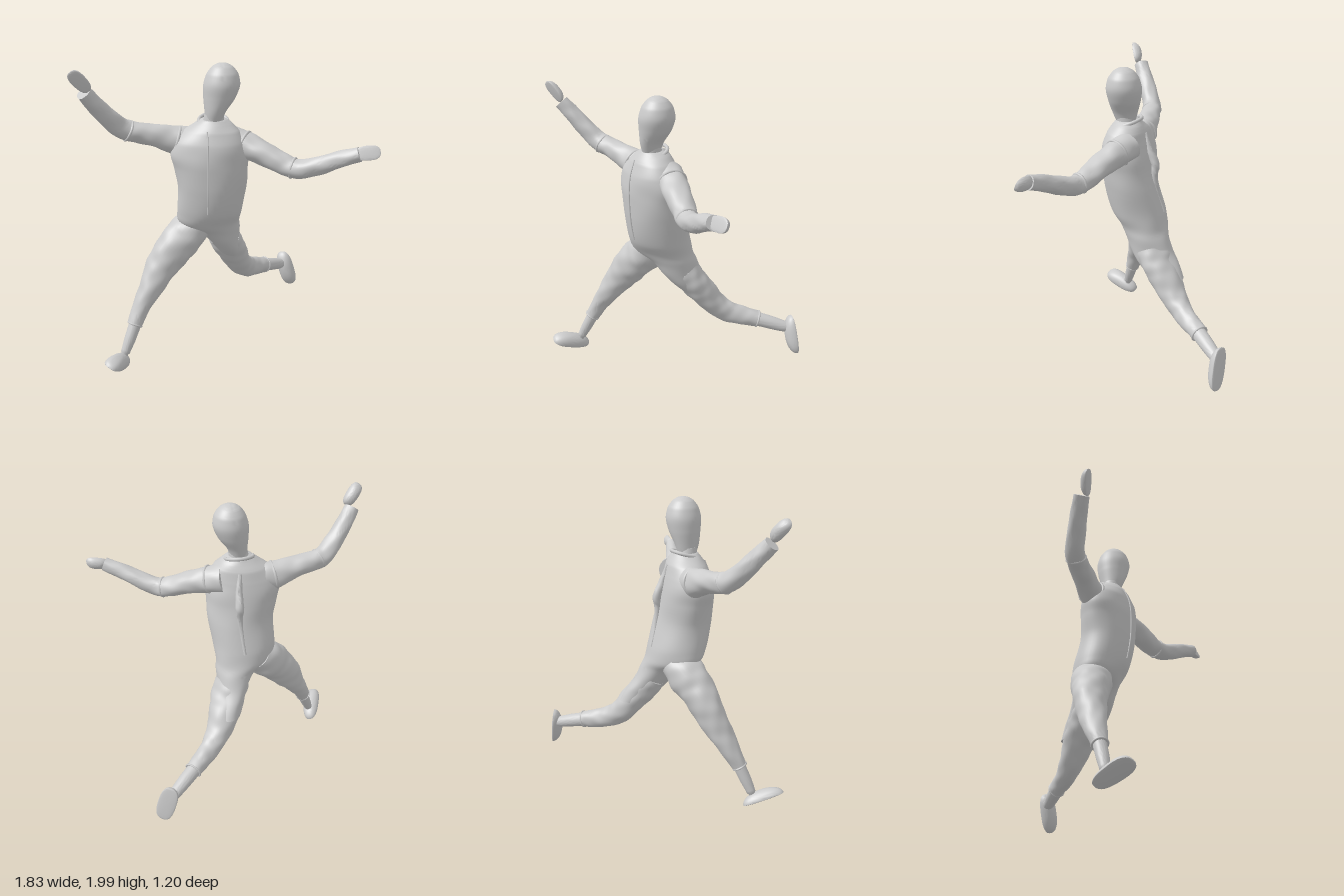
import * as THREE from 'three';
import { toCreasedNormals } from 'three/addons/utils/BufferGeometryUtils.js';

const V = (x, y, z) => new THREE.Vector3(x, y, z);
const material = new THREE.MeshStandardMaterial({ color: 0xcccccc, roughness: 0.8 });

// Smooth skin over sections [x, y, z, radiusA, radiusB, shear].
// Level rings lie flat (A along z, B along x); others stand square to the path.
function loft(sections, { level = false, folds = 0, steps = 48, sides = 36, ref = V(0, 0, 1) } = {}) {
  const path = new THREE.CatmullRomCurve3(sections.map(s => V(s[0], s[1], s[2])));
  const size = new THREE.CatmullRomCurve3(sections.map(s => V(s[3], s[4] ?? s[3], s[5] ?? 0)));
  const pos = [], index = [];
  for (let i = 0; i <= steps; i++) {
    const k = i / steps, c = path.getPoint(k), r = size.getPoint(k);
    const t = level ? V(0, 1, 0) : path.getTangent(k);
    const u = ref.clone().addScaledVector(t, -ref.dot(t)).normalize();
    const v = t.clone().cross(u);
    for (let j = 0; j < sides; j++) {
      const a = j / sides * Math.PI * 2;
      // Soft cloth folds running diagonally
      const f = 1 + folds * (Math.sin(3 * a + 16 * k) * 0.6 + Math.sin(5 * a - 27 * k + 1) * 0.5
        + Math.sin(2 * a + 45 * k) * 0.35);
      const p = c.clone().addScaledVector(u, Math.cos(a) * r.x * f).addScaledVector(v, Math.sin(a) * r.y * f);
      p.z += r.z * (p.x - c.x);
      pos.push(p.x, p.y, p.z);
    }
  }
  for (let i = 0; i < steps; i++) for (let j = 0; j < sides; j++) {
    const a = i * sides + j, b = i * sides + (j + 1) % sides;
    index.push(a, b, a + sides, b, b + sides, a + sides);
  }
  // End caps
  const n = pos.length / 3, last = steps * sides;
  for (const k of [0, 1]) pos.push(...path.getPoint(k).toArray());
  for (let j = 0; j < sides; j++) {
    const q = (j + 1) % sides;
    index.push(n, q, j, n + 1, last + j, last + q);
  }
  const g = new THREE.BufferGeometry();
  g.setAttribute('position', new THREE.Float32BufferAttribute(pos, 3));
  g.setIndex(index);
  return toCreasedNormals(g, 0.9);
}

// Squarish rounded pad with one flat face, laid along "forward" and domed towards "up"
function pad(center, forward, up, length, width, height, taper) {
  const g = new THREE.SphereGeometry(1, 32, 24);
  const p = g.attributes.position;
  for (let i = 0; i < p.count; i++) {
    const x = p.getX(i), y = p.getY(i), z = p.getZ(i);
    const a = Math.atan2(x, z);
    const sq = (Math.abs(Math.sin(a)) ** 2.7 + Math.abs(Math.cos(a)) ** 2.7) ** (-1 / 2.7);
    p.setXYZ(i, x * sq * width / 2 * (1 + taper * z), y > 0 ? y * height : y * height * 0.12, z * sq * length / 2);
  }
  const f = forward.clone().normalize();
  const n = up.clone().addScaledVector(f, -up.dot(f)).normalize();
  g.applyMatrix4(new THREE.Matrix4().makeBasis(n.clone().cross(f), n, f).setPosition(center));
  return toCreasedNormals(g, 0.7);
}

// Raised hem around a limb
function hem(center, dir, radius, thick) {
  const g = new THREE.TorusGeometry(radius, thick, 8, 32);
  const q = new THREE.Quaternion().setFromUnitVectors(V(0, 0, 1), dir.clone().normalize());
  return g.applyQuaternion(q).translate(center.x, center.y, center.z);
}

export function createModel() {
  const model = new THREE.Group();
  model.name = 'runningFigure';
  const add = (name, geometry) => {
    const mesh = new THREE.Mesh(geometry, material);
    mesh.name = name;
    model.add(mesh);
  };

  // Head and neck
  add('head', loft([
    [-0.045, 1.64, 0.165, 0.065, 0.053], [-0.035, 1.7, 0.168, 0.084, 0.068], [-0.01, 1.78, 0.165, 0.105, 0.1],
    [0.005, 1.86, 0.165, 0.116, 0.115], [0.01, 1.93, 0.165, 0.1, 0.1],
    [0.01, 1.975, 0.165, 0.066, 0.066], [0.01, 1.994, 0.165, 0.033, 0.033], [0.01, 2.0, 0.165, 0.002, 0.002],
  ], { level: true }));
  add('neck', loft([[-0.05, 1.56, 0.15, 0.075], [-0.047, 1.62, 0.16, 0.068], [-0.042, 1.68, 0.168, 0.062]],
    { level: true, steps: 8 }));

  // Torso of the overall, running down into the trailing thigh
  add('torso', loft([
    [0.12, 0.6, -0.145, 0.115, 0.08, 0], [0.09, 0.68, -0.085, 0.14, 0.09, 0],
    [0.05, 0.77, -0.025, 0.145, 0.108, -0.05], [0.01, 0.86, 0.015, 0.15, 0.145, -0.1],
    [-0.055, 0.93, 0.05, 0.165, 0.205, -0.1], [-0.06, 1.02, 0.085, 0.185, 0.217, -0.05],
    [-0.05, 1.2, 0.13, 0.18, 0.225, 0], [-0.062, 1.33, 0.145, 0.173, 0.238, 0.08],
    [-0.07, 1.42, 0.15, 0.168, 0.247, 0.12], [-0.07, 1.5, 0.153, 0.153, 0.23, 0.15],
    [-0.055, 1.575, 0.15, 0.13, 0.175, 0.12], [-0.045, 1.62, 0.15, 0.1, 0.12, 0.05],
    [-0.045, 1.645, 0.15, 0.08, 0.085, 0],
  ], { level: true, folds: 0.012, steps: 84, sides: 48 }));
  add('collar', hem(V(-0.045, 1.632, 0.148), V(0, 1, 0.32), 0.092, 0.012));
  add('frontSeam', new THREE.TubeGeometry(new THREE.CatmullRomCurve3([
    V(-0.1, 1.59, 0.265), V(-0.1, 1.5, 0.303), V(-0.1, 1.4, 0.317), V(-0.1, 1.2, 0.31), V(-0.1, 1.05, 0.282),
  ]), 40, 0.005, 6));
  add('backFlap', loft([
    [-0.02, 1.57, 0.03, 0.012], [-0.005, 1.46, 0.0, 0.022], [0.0, 1.36, -0.04, 0.028],
    [0.0, 1.28, -0.035, 0.02], [-0.01, 1.15, -0.057, 0.012], [-0.02, 1.02, -0.097, 0.01],
  ], { folds: 0.08, sides: 12 }));

  // Sleeves
  add('rightSleeve', loft([
    [-0.16, 1.47, 0.11, 0.1, 0.11], [-0.28, 1.5, 0.09, 0.082, 0.095], [-0.4, 1.535, 0.09, 0.075, 0.073],
    [-0.52, 1.56, 0.09, 0.068, 0.066], [-0.61, 1.585, 0.1, 0.064, 0.066], [-0.7, 1.67, 0.14, 0.06, 0.06],
    [-0.78, 1.765, 0.185, 0.055, 0.054], [-0.84, 1.845, 0.225, 0.05, 0.048],
  ], { folds: 0.04 }));
  add('leftSleeve', loft([
    [0.06, 1.5, 0.13, 0.1, 0.1], [0.16, 1.475, 0.185, 0.085, 0.092], [0.26, 1.435, 0.25, 0.075, 0.085],
    [0.37, 1.385, 0.315, 0.067, 0.075], [0.45, 1.358, 0.37, 0.062, 0.065], [0.56, 1.39, 0.43, 0.058, 0.058],
    [0.68, 1.445, 0.495, 0.052, 0.052], [0.79, 1.488, 0.55, 0.045, 0.045],
  ], { folds: 0.04, ref: V(0, 1, 0) }));

  // Armhole and elbow hems
  add('rightArmhole', hem(V(-0.27, 1.5, 0.092), V(-1, 0.25, -0.1), 0.086, 0.01));
  add('leftArmhole', hem(V(0.15, 1.477, 0.18), V(0.8, -0.28, 0.5), 0.087, 0.01));
  add('rightElbowHem', hem(V(-0.58, 1.572, 0.096), V(-1, 0.5, 0.2), 0.062, 0.009));
  add('leftElbowHem', hem(V(0.43, 1.362, 0.355), V(0.8, -0.15, 0.5), 0.062, 0.009));

  // Mitten hands
  add('rightHand', pad(V(-0.858, 1.918, 0.275), V(-0.11, 0.13, 0.045), V(-0.05, 0.3, -0.8), 0.165, 0.088, 0.05, 0.05));
  add('leftHand', pad(V(0.835, 1.5, 0.568), V(0.14, 0.015, 0.03), V(0.1, -0.35, -0.8), 0.15, 0.09, 0.05, 0.05));

  // Trouser legs, then bare shins
  add('rightTrouser', loft([
    [-0.14, 0.92, 0.05, 0.13, 0.11], [-0.22, 0.845, 0.07, 0.135, 0.13], [-0.29, 0.775, 0.095, 0.12, 0.127],
    [-0.36, 0.69, 0.115, 0.108, 0.118], [-0.42, 0.6, 0.14, 0.097, 0.1], [-0.48, 0.5, 0.175, 0.085, 0.078],
    [-0.54, 0.4, 0.21, 0.068, 0.06], [-0.592, 0.285, 0.255, 0.048, 0.05],
  ], { folds: 0.035 }));
  add('rightShin', loft([[-0.58, 0.31, 0.245, 0.042], [-0.63, 0.19, 0.283, 0.038],
    [-0.663, 0.11, 0.306, 0.03], [-0.675, 0.07, 0.315, 0.03]], { steps: 12 }));
  add('leftTrouser', loft([
    [0.055, 0.78, -0.035, 0.12, 0.1], [0.095, 0.69, -0.08, 0.122, 0.098],
    [0.14, 0.6, -0.14, 0.112, 0.092], [0.2, 0.49, -0.21, 0.088, 0.082], [0.27, 0.425, -0.275, 0.07, 0.075],
    [0.35, 0.392, -0.345, 0.062, 0.066], [0.43, 0.367, -0.415, 0.056, 0.057],
  ], { folds: 0.035, ref: V(1, 0, 1) }));
  add('leftShin', loft([[0.4, 0.376, -0.39, 0.05], [0.5, 0.342, -0.47, 0.047],
    [0.575, 0.315, -0.53, 0.04], [0.61, 0.305, -0.56, 0.033]], { steps: 12, ref: V(1, 0, 1) }));
  add('rightTrouserHem', hem(V(-0.592, 0.287, 0.254), V(-0.4, -0.85, 0.34), 0.047, 0.007));
  add('leftTrouserHem', hem(V(0.428, 0.368, -0.413), V(0.72, -0.24, -0.65), 0.055, 0.007));

  // Feet with flat soles
  add('rightFoot', pad(V(-0.718, 0.066, 0.37), V(-0.11, 0.09, 0.25), V(0.55, 0.8, -0.2), 0.285, 0.125, 0.065, 0.1));
  add('leftFoot', pad(V(0.645, 0.26, -0.567), V(0.08, -0.27, 0.015), V(-0.55, 0, 0.83), 0.285, 0.125, 0.065, 0));

  return model;
}
